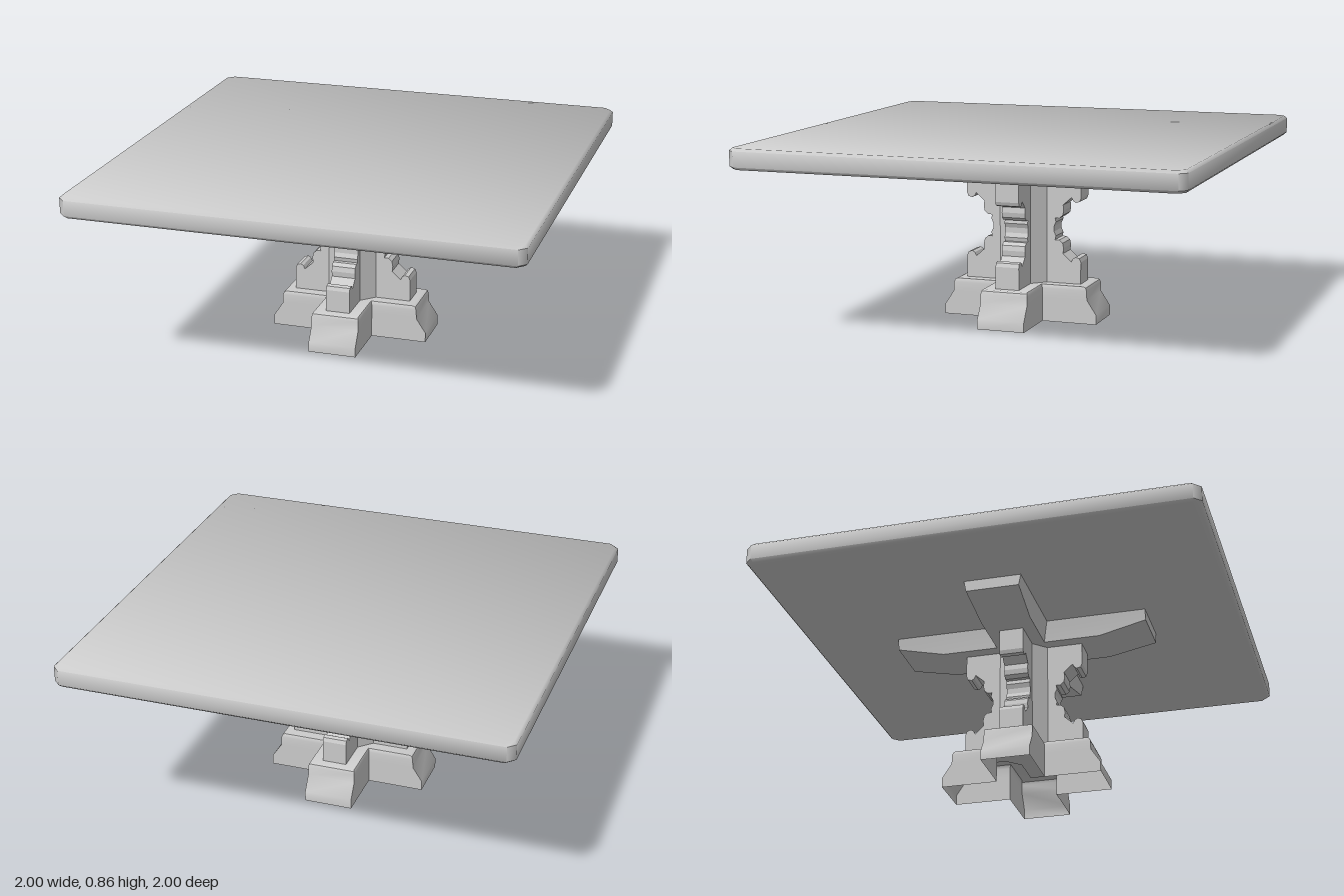
import * as THREE from 'three';
import { toCreasedNormals } from 'three/addons/utils/BufferGeometryUtils.js';

const material = new THREE.MeshStandardMaterial({ color: 0xcccccc, side: THREE.DoubleSide });

// Repeats the points of one quarter [x, z] around the vertical axis.
function fourfold(quarter) {
  const ring = [];
  for (let k = 0; k < 4; k++) {
    for (const [x, z] of quarter) {
      ring.push([[x, z], [-z, x], [-x, -z], [z, -x]][k]);
    }
  }
  return ring;
}
const plus = (reach, half) => fourfold([[reach, -half], [reach, half], [half, half]]);
const cutSquare = (half, flat) => fourfold([[half, -flat], [half, flat]]);

// Joins horizontal rings, listed from bottom to top as [y, ring], with end caps.
function loft(levels, { bottom = true, crease = 0.6 } = {}) {
  const n = levels[0][1].length;
  const positions = levels.flatMap(([y, ring]) => ring.flatMap(([x, z]) => [x, y, z]));
  const index = [];
  for (let l = 0; l < levels.length - 1; l++) {
    for (let i = 0; i < n; i++) {
      const j = (i + 1) % n;
      const a = l * n + i, b = l * n + j, c = b + n, d = a + n;
      index.push(a, d, b, b, d, c);
    }
  }
  const triangles = (ring) =>
    THREE.ShapeUtils.triangulateShape(ring.map(([x, z]) => new THREE.Vector2(x, z)), []);
  const top = (levels.length - 1) * n;
  for (const [a, b, c] of triangles(levels[levels.length - 1][1])) index.push(top + a, top + c, top + b);
  if (bottom) for (const [a, b, c] of triangles(levels[0][1])) index.push(a, b, c);
  const geometry = new THREE.BufferGeometry();
  geometry.setAttribute('position', new THREE.Float32BufferAttribute(positions, 3));
  geometry.setIndex(index);
  return toCreasedNormals(geometry, crease);
}

// Scrolled outline of a bracket, mirrored about its middle height.
function bracketGeometry() {
  const middle = 0.418;
  const upper = [
    [0.275, 0.67], [0.275, 0.565], [0.268, 0.548], [0.25, 0.543], [0.238, 0.55], [0.23, 0.566],
    [0.19, 0.53], [0.193, 0.505], [0.188, 0.482], [0.172, 0.468], [0.152, 0.468],
    [0.156, 0.45], [0.147, 0.43],
  ];
  const lower = upper.map(([x, y]) => [x, 2 * middle - y]).reverse();
  const points = [[0.1, 0.67], ...upper, ...lower, [0.1, 2 * middle - 0.67]];
  const shape = new THREE.Shape(points.map(([x, y]) => new THREE.Vector2(x, y)));
  const geometry = new THREE.ExtrudeGeometry(shape, { depth: 0.11, bevelEnabled: false });
  return geometry.translate(0, 0, -0.055);
}

// Square top with clipped corners and softened edges.
function tabletopGeometry() {
  const geometry = loft([
    [0.763, cutSquare(0.988, 0.958)],
    [0.775, cutSquare(1, 0.968)],
    [0.843, cutSquare(1, 0.968)],
    [0.855, cutSquare(0.988, 0.958)],
  ], { crease: 0.9 });
  // Soft shading: lean the normals of the upper rim outwards.
  const p = geometry.attributes.position, normal = geometry.attributes.normal;
  const v = new THREE.Vector3();
  for (let i = 0; i < p.count; i++) {
    if (p.getY(i) < 0.85) continue;
    v.set(p.getX(i) * 0.4, 0.8, p.getZ(i) * 0.4).normalize();
    normal.setXYZ(i, v.x, v.y, v.z);
  }
  return geometry;
}

export function createModel() {
  const group = new THREE.Group();
  const add = (name, geometry) => {
    const mesh = new THREE.Mesh(geometry, material);
    mesh.name = name;
    group.add(mesh);
    return mesh;
  };

  // Hollow cross-shaped foot, open underneath
  add('base', loft([
    [0, plus(0.365, 0.11)],
    [0.045, plus(0.365, 0.11)],
    [0.11, plus(0.322, 0.11)],
    [0.152, plus(0.32, 0.11)],
    [0.165, plus(0.315, 0.108)],
    [0.17, plus(0.305, 0.105)],
  ], { bottom: false }));

  // Eight-sided post
  add('column', loft([[0.165, cutSquare(0.113, 0.055)], [0.67, cutSquare(0.113, 0.055)]]));

  // Four scrolled brackets around the post
  const bracket = bracketGeometry();
  for (let i = 0; i < 4; i++) add('bracket', bracket).rotation.y = i * Math.PI / 2;

  // Tapered cross that carries the top
  add('supportCross', loft([
    [0.665, plus(0.37, 0.113)],
    [0.713, plus(0.588, 0.12)],
    [0.765, plus(0.588, 0.13)],
  ]));

  add('tabletop', tabletopGeometry());
  return group;
}
